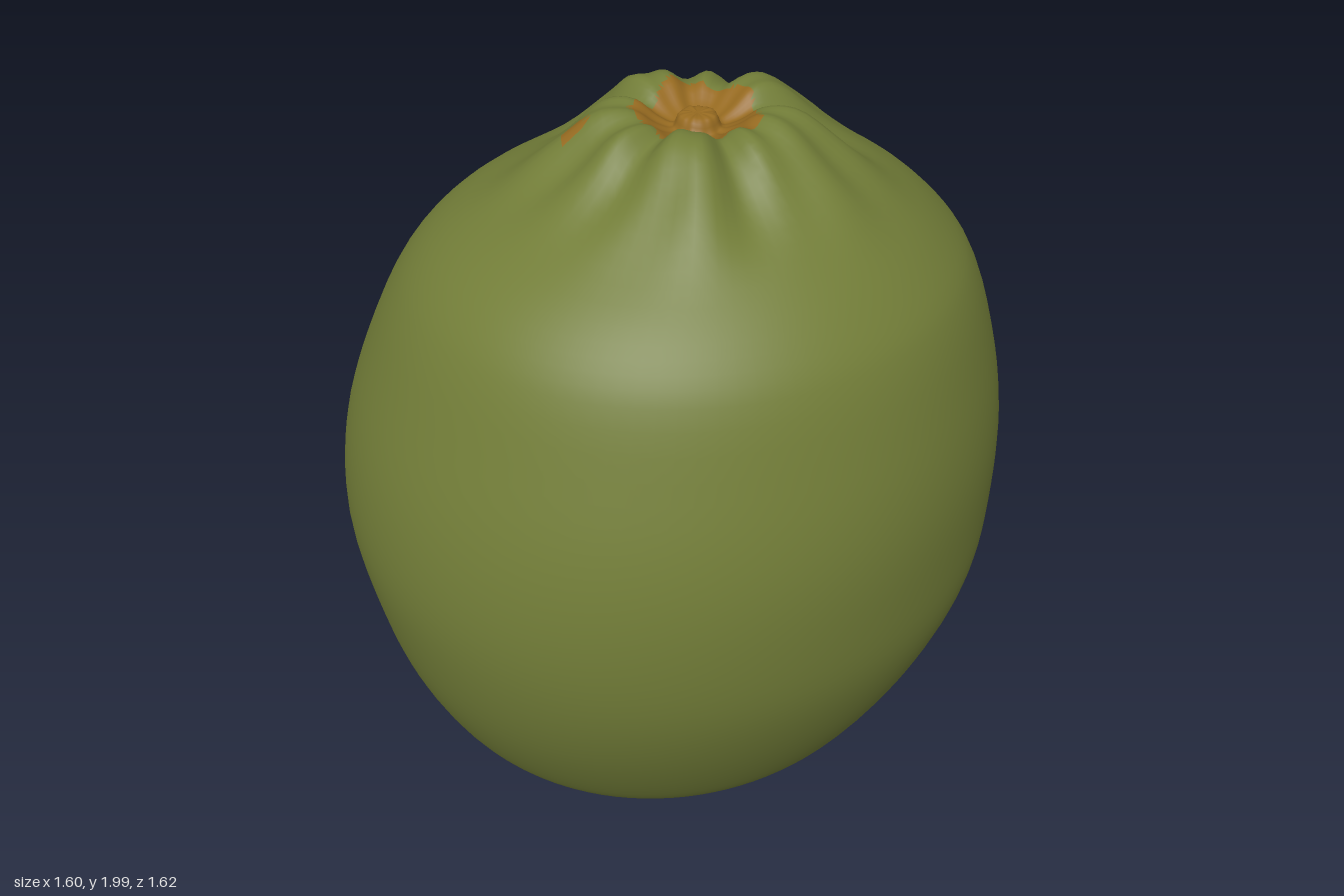
import * as THREE from 'three';

const STEPS = 4;   // rows per profile point
const SIDES = 96;

// Profile from the stem end to the tip: [radius, height, sideways shift of the ring]
const PROFILE = [
  [0, 1.96, 0.06], [0.04, 1.957, 0.06], [0.055, 1.93, 0.06], [0.09, 1.94, 0.06], [0.14, 1.97, 0.06],
  [0.21, 1.962, 0.06], [0.3, 1.895, 0.065], [0.43, 1.8, 0.06], [0.565, 1.7, 0.04], [0.65, 1.6, 0.035],
  [0.735, 1.4, 0.02], [0.788, 1.2, 0.005], [0.802, 1, -0.005], [0.778, 0.8, 0], [0.718, 0.6, -0.01],
  [0.62, 0.4, -0.02], [0.545, 0.3, -0.02], [0.43, 0.2, -0.025], [0.27, 0.12, -0.03], [0.13, 0.075, 0.03],
  [0.075, 0.03, 0.05], [0.035, 0.005, 0.05], [0, 0, 0.05],
];

const bell = (x, centre, width) => Math.exp(-(((x - centre) / width) ** 2));

// Irregular folds around the axis, about -1 to 1
const folds = (a, r) =>
  0.5 * Math.sin(5 * a + 0.8) + 0.35 * Math.sin(8 * a + 2.1 + 5 * r) + 0.3 * Math.sin(13 * a + 0.4 - 7 * r);

function surfacePoint(ring, a) {
  const { x: r, y, z: shift } = ring;
  const top = THREE.MathUtils.smoothstep(y, 1.4, 1.9);
  const low = 1 - THREE.MathUtils.smoothstep(y, 0.15, 0.5);
  // Slightly oval girth, with faint unevenness
  const oval = 1 - 0.035 * Math.sin(2 * a) * Math.min(1, r / 0.5) + 0.006 * Math.sin(3 * a + 4 * y);
  const p = new THREE.Vector3(
    shift + r * oval * Math.cos(a) * (1 - 0.01 * r), y,
    0.03 * top + r * oval * Math.sin(a) * (1 + 0.01 * r));
  // Puckered collar round the stem and soft wrinkles near the tip
  if (y > 1.5) {
    const f = folds(a, r);
    p.y += f * (0.026 * bell(r, 0.2, 0.1) + 0.022 * bell(r, 0.32, 0.1));
    p.y = Math.min(p.y, 2);
  }
  p.y += low * 0.009 * bell(r, 0.32, 0.14) * Math.sin(9 * a + 14 * r);
  // Small blister on the skin
  const d = p.distanceTo(new THREE.Vector3(-0.69, 0.56, 0.17));
  p.x -= 0.018 * bell(d, 0, 0.06);
  return p;
}

// Brown stem scar with a ragged edge, and one small fleck beside it
function isScar(c) {
  if (c.y < 1.7) return false;
  const a = Math.atan2(c.z - 0.03, c.x - 0.06);
  const edge = 0.135 + 0.012 * Math.sin(5 * a) + 0.008 * Math.sin(3 * a + 1);
  return Math.hypot(c.x - 0.06, c.z - 0.03) < edge || Math.hypot(c.x + 0.185, c.z - 0.145) < 0.028;
}

export function createModel() {
  const peel = new THREE.MeshStandardMaterial({ color: 0x727d38 });
  peel.name = 'green peel';
  const scar = new THREE.MeshStandardMaterial({ color: 0x966a20 });
  scar.name = 'brown stem scar';

  const curve = new THREE.CatmullRomCurve3(PROFILE.map((p) => new THREE.Vector3(...p)));
  const rows = (PROFILE.length - 1) * STEPS;

  // Stem pole, rings from top to bottom, tip pole
  const points = [surfacePoint(curve.getPoint(0), 0)];
  for (let i = 1; i < rows; i++) {
    const ring = curve.getPoint(i / rows);
    for (let j = 0; j < SIDES; j++) points.push(surfacePoint(ring, (j / SIDES) * Math.PI * 2));
  }
  points.push(new THREE.Vector3(0.05, 0, 0));
  const last = points.length - 1;
  const at = (i, j) => (i === 0 ? 0 : i === rows ? last : 1 + (i - 1) * SIDES + (j % SIDES));

  const green = [], brown = [];
  const face = (a, b, c) => {
    const centre = points[a].clone().add(points[b]).add(points[c]).divideScalar(3);
    (isScar(centre) ? brown : green).push(a, b, c);
  };
  for (let i = 0; i < rows; i++) {
    for (let j = 0; j < SIDES; j++) {
      if (i > 0) face(at(i, j), at(i, j + 1), at(i + 1, j));
      if (i < rows - 1) face(at(i, j + 1), at(i + 1, j + 1), at(i + 1, j));
    }
  }

  const geometry = new THREE.BufferGeometry().setFromPoints(points);
  geometry.setIndex([...green, ...brown]);
  geometry.addGroup(0, green.length, 0);
  geometry.addGroup(green.length, brown.length, 1);
  geometry.computeVertexNormals();

  const fruit = new THREE.Mesh(geometry, [peel, scar]);
  fruit.name = 'fruit';
  const model = new THREE.Group();
  model.name = 'citrusFruit';
  model.add(fruit);
  return model;
}
